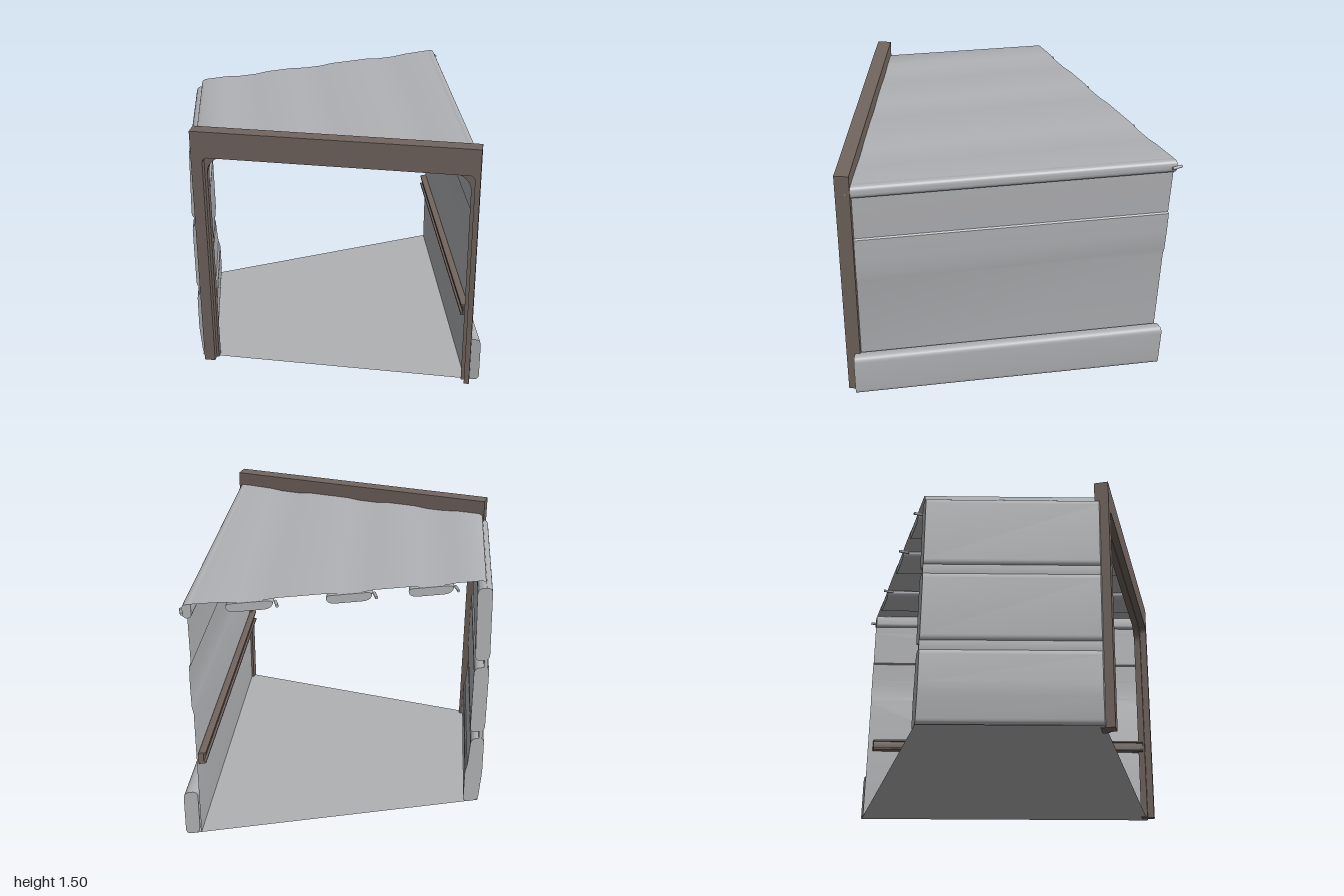
import * as THREE from 'three';
import { toCreasedNormals } from 'three/addons/utils/BufferGeometryUtils.js';

const BACK = -0.88;   // z of the square-cut rear end
const SKEW = 0.295;   // sideways drift of the passage per unit of depth
const SLOPE = Math.tan(Math.PI / 6); // slanted doorway plane

// Maps a section point at the rear (k = 0) or at the slanted doorway (k = 1)
function place(x, y, k, start = 0, clip = 0.07) {
  const full = (clip - BACK + SLOPE * (x + 0.94)) / (1 + SLOPE * SKEW);
  const t = k ? full : start;
  return [x - SKEW * t, y, BACK + t];
}

// Polygon with every corner rounded by r
function roundPoly(pts, r) {
  const shape = new THREE.Shape();
  const v = pts.map(([x, y]) => new THREE.Vector2(x, y));
  v.forEach((p, i) => {
    const toward = (q) => {
      const d = q.clone().sub(p);
      return p.clone().add(d.setLength(Math.min(r, d.length() * 0.49)));
    };
    const a = toward(v[(i + v.length - 1) % v.length]);
    const b = toward(v[(i + 1) % v.length]);
    if (i) shape.lineTo(a.x, a.y); else shape.moveTo(a.x, a.y);
    shape.quadraticCurveTo(p.x, p.y, b.x, b.y);
  });
  shape.closePath();
  return shape;
}

const rect = (x0, y0, x1, y1) => [[x0, y0], [x1, y0], [x1, y1], [x0, y1]];

// Solid section run along the skewed passage
function run(shape, start = 0) {
  const g = new THREE.ExtrudeGeometry(shape, { depth: 1, bevelEnabled: false, curveSegments: 6 });
  const p = g.attributes.position;
  for (let i = 0; i < p.count; i++) {
    p.setXYZ(i, ...place(p.getX(i), p.getY(i), p.getZ(i) > 0.5 ? 1 : 0, start));
  }
  return toCreasedNormals(g, 0.6);
}

// Thin open sheet along the same path
function sheet(pts) {
  const g = new THREE.PlaneGeometry(1, 1, pts.length - 1, 1);
  for (let j = 0; j < 2; j++) {
    pts.forEach(([x, y], i) => g.attributes.position.setXYZ(j * pts.length + i, ...place(x, y, 1 - j)));
  }
  // Upper/outer side is the front side
  const idx = Array.from(g.index.array);
  for (let i = 0; i < idx.length; i += 3) [idx[i + 1], idx[i + 2]] = [idx[i + 2], idx[i + 1]];
  g.setIndex(idx);
  return toCreasedNormals(g, 0.5);
}

// Door surround layer with rounded upper inner corners
function surround(width, height, left, right, top, r, depth) {
  const s = new THREE.Shape();
  s.moveTo(0, 0);
  s.lineTo(left, 0);
  s.lineTo(left, top - r);
  s.absarc(left + r, top - r, r, Math.PI, Math.PI / 2, true);
  s.lineTo(right - r, top);
  s.absarc(right - r, top - r, r, Math.PI / 2, 0, true);
  s.lineTo(right, 0);
  s.lineTo(width, 0);
  s.lineTo(width, height);
  s.lineTo(0, height);
  s.closePath();
  return toCreasedNormals(new THREE.ExtrudeGeometry(s, { depth, bevelEnabled: false, curveSegments: 8 }), 0.5);
}

export function createModel() {
  const model = new THREE.Group();
  const grey = new THREE.MeshStandardMaterial({ color: 0xb0b1b4, side: THREE.DoubleSide });
  grey.name = 'panelGrey';
  const brown = new THREE.MeshStandardMaterial({ color: 0x73665f });
  brown.name = 'frameBrown';
  const add = (name, geometry, material = grey, parent = model) => {
    const mesh = new THREE.Mesh(geometry, material);
    mesh.name = name;
    parent.add(mesh);
    return mesh;
  };

  // Floor
  add('floor', sheet([[-0.7, 0.003], [0.98, 0.003]]));

  // Roof with shallow dips over its hanging troughs
  const troughs = [-0.36, 0.08, 0.6];
  const roof = [[-0.67, 1.36], [-0.66, 1.41], [-0.64, 1.42]];
  for (const c of troughs) {
    roof.push([c - 0.14, 1.42], [c - 0.06, 1.412], [c + 0.05, 1.412], [c + 0.13, 1.42]);
    add('roofTrough', run(roundPoly([[c - 0.13, 1.408], [c - 0.11, 1.36], [c + 0.11, 1.36], [c + 0.13, 1.408]], 0.04)));
  }
  roof.push([0.88, 1.424], [0.92, 1.422]);
  add('roof', sheet(roof));

  // Rounded rail along the roof edge
  add('roofEdge', run(roundPoly([[0.895, 1.35], [0.925, 1.345], [0.945, 1.37], [0.945, 1.41], [0.93, 1.424], [0.895, 1.424]], 0.012)));

  // Thin side wall with one slightly raised band
  add('sheetWall', sheet([
    [0.915, 1.4], [0.915, 1.3], [0.913, 1.075], [0.923, 1.068], [0.925, 0.95], [0.923, 0.82],
    [0.915, 0.78], [0.915, 0.003],
  ]));
  add('skirting', run(roundPoly(rect(0.922, 0.002, 1.0, 0.28), 0.035)));

  // Inner wall channel
  add('channel', run(roundPoly(rect(0.885, 0.45, 0.913, 0.5), 0.003), 0.03), brown);
  for (const y of [0.44, 0.497]) {
    add('channelLip', run(roundPoly(rect(0.872, y, 0.913, y + 0.012), 0.003), 0.03), brown);
  }

  // Padded wall of three stacked panels
  const panels = [
    [[-0.7, 0.002], [-0.61, 0.002], [-0.61, 0.22], [-0.622, 0.25], [-0.634, 0.433], [-0.712, 0.433], [-0.715, 0.2]],
    [[-0.712, 0.477], [-0.625, 0.477], [-0.625, 0.893], [-0.712, 0.893]],
    [[-0.712, 0.937], [-0.628, 0.937], [-0.615, 1.375], [-0.7, 1.375]],
  ];
  panels.forEach((p) => add('wallPanel', run(roundPoly(p, 0.035))));
  for (const y of [0.41, 0.87]) add('panelJoint', run(roundPoly(rect(-0.7, y, -0.68, y + 0.09), 0.002)));

  // Slanted doorway frame in two stepped layers
  const frame = new THREE.Group();
  frame.name = 'doorFrame';
  frame.position.set(-0.98, 0, 0.105);
  frame.rotation.y = -Math.PI / 6;
  model.add(frame);
  add('frameFront', surround(1.6, 1.5, 0.064, 1.57, 1.345, 0.03, 0.04), brown, frame).position.z = -0.04;
  add('frameBack', surround(1.6, 1.5, 0.078, 1.55, 1.335, 0.1, 0.04), brown, frame).position.z = -0.08;

  // Small rear pins along the roof
  for (const x of [-0.5, -0.06, 0.46, 0.945]) {
    const pin = add('rearPin', new THREE.CylinderGeometry(0.008, 0.008, 0.06, 10));
    pin.rotation.x = Math.PI / 2;
    pin.position.set(x, 1.388, -0.88);
  }
  return model;
}
